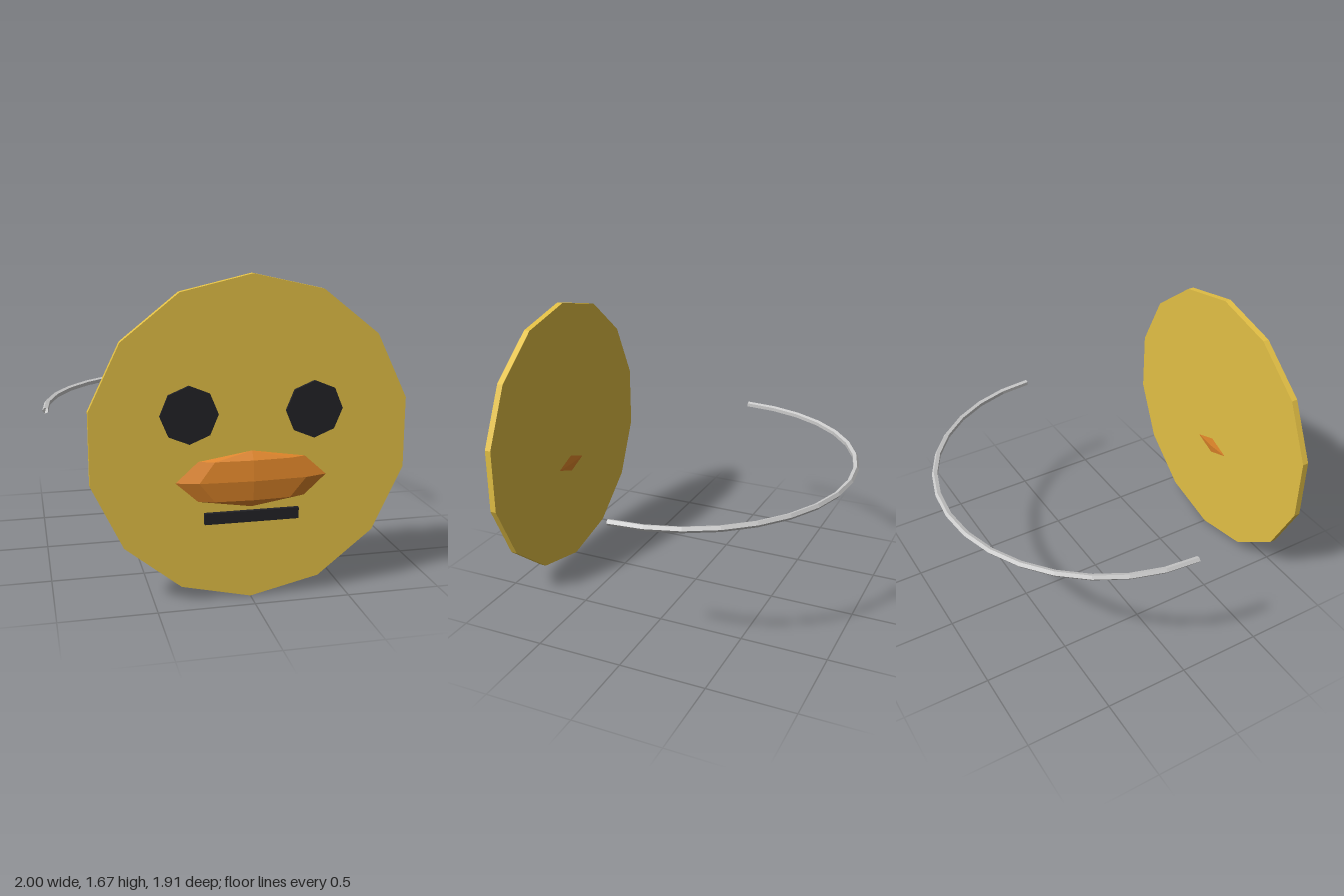
import * as THREE from 'three';

const CENTRE_Y = 0.835;

function material(color, side = THREE.FrontSide) {
  return new THREE.MeshStandardMaterial({ color, flatShading: true, side });
}

export function createModel() {
  const model = new THREE.Group();
  const yellow = material(0xe3c045);
  const black = material(0x222226);
  const orange = material(0xe0862a);
  const grey = material(0xcccccc, THREE.DoubleSide);

  function add(name, geometry, mat, x, y, z) {
    const mesh = new THREE.Mesh(geometry, mat);
    mesh.name = name;
    mesh.position.set(x, y, z);
    model.add(mesh);
    return mesh;
  }

  // Flat polygonal disc facing the front
  const disc = (radius, depth, sides) =>
    new THREE.CylinderGeometry(radius, radius, depth, sides).rotateX(Math.PI / 2);

  // Mask face
  add('face', disc(0.833, 0.036, 14), yellow, 0, CENTRE_Y, 0.882);

  // Eyes
  for (const [name, side] of [['leftEye', 1], ['rightEye', -1]]) {
    add(name, disc(0.147, 0.03, 8), black, side * 0.32, 0.985, 0.901);
  }

  // Faceted beak, its back tip just piercing the face
  add('beak', new THREE.SphereGeometry(1, 8, 4).scale(0.39, 0.147, 0.048), orange, 0, 0.64, 0.905);

  // Mouth bar
  add('mouth', new THREE.BoxGeometry(0.49, 0.058, 0.035), black, 0, 0.445, 0.904);

  // Half-circle head band, open towards the front
  add('headBand', new THREE.TorusGeometry(0.982, 0.018, 5, 16, Math.PI).rotateX(-Math.PI / 2),
    grey, 0, CENTRE_Y + 0.002, 0.047);

  return model;
}
